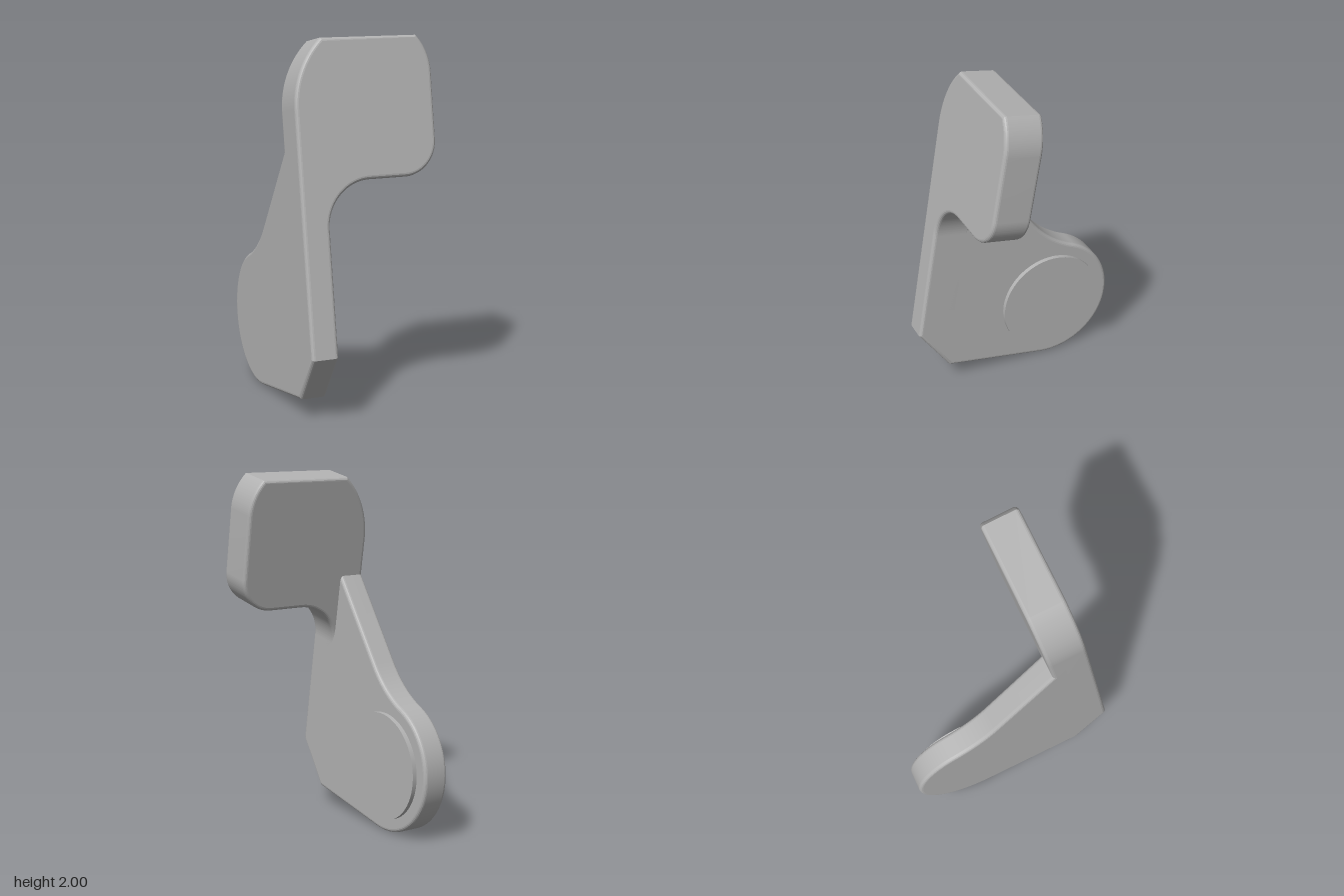
import * as THREE from 'three';
import { toCreasedNormals } from 'three/addons/utils/BufferGeometryUtils.js';

const EDGE = 0.02; // rounding of the plate edges

// Extrude an outline from z = from to z = to, with rounded edges kept inside the outline
function plate(shape, from, to) {
  const geo = new THREE.ExtrudeGeometry(shape, {
    depth: to - from - 2 * EDGE,
    bevelEnabled: true,
    bevelSize: EDGE,
    bevelThickness: EDGE,
    bevelOffset: -EDGE,
    bevelSegments: 4,
    curveSegments: 32,
  });
  geo.translate(0, 0, from + EDGE);
  return toCreasedNormals(geo, 0.17);
}

export function createModel() {
  const model = new THREE.Group();
  model.name = 'bracket';
  const grey = new THREE.MeshStandardMaterial({ color: 0xb3b3b3 });
  grey.name = 'grey';

  const add = (name, geo) => {
    const mesh = new THREE.Mesh(geo, grey);
    mesh.name = name;
    model.add(mesh);
    return mesh;
  };

  const outer = -0.322, inner = -0.172; // side plate faces
  const back = 0.485, front = 0.7;      // front plate faces
  const hub = { x: 0.114, y: 0.406, r: 0.38 };

  // Side plate: chamfered front foot, round hub at the back, sloped neck
  const side = new THREE.Shape();
  side.moveTo(-front, 0.253);
  side.lineTo(-0.48, 0.026);
  side.lineTo(hub.x, hub.y - hub.r);
  side.absarc(hub.x, hub.y, hub.r, -Math.PI / 2, 1.315, false);
  side.quadraticCurveTo(0.0435, 0.8115, -0.085, 0.94);
  side.lineTo(-back, 1.336);
  side.lineTo(-0.6, 1.45);
  side.lineTo(-front, 1.2);
  side.closePath();
  add('sidePlate', plate(side, outer, inner).rotateY(Math.PI / 2));

  // Front plate: narrow strip that flares into a rounded flag
  const flag = new THREE.Shape();
  flag.moveTo(outer, 0.3);
  flag.lineTo(inner, 0.3);
  flag.lineTo(inner, 0.92);
  flag.absarc(0.073, 0.92, 0.245, Math.PI, Math.PI / 2, true);
  flag.lineTo(0.275, 1.165);
  flag.absarc(0.275, 1.355, 0.19, -Math.PI / 2, 0, false);
  flag.lineTo(0.465, 1.711);
  flag.absarc(0.175, 1.711, 0.29, 0, 0.75, false);
  flag.absarc(0.173, 1.541, 0.495, Math.PI - 0.838, Math.PI, false);
  flag.closePath();
  add('frontPlate', plate(flag, back, front));

  // Raised disc on the inner face of the hub
  const disc = add('hubDisc', new THREE.CylinderGeometry(0.304, 0.304, 0.035, 96));
  disc.rotation.z = -Math.PI / 2;
  disc.position.set(inner + 0.0085, hub.y, -hub.x);

  // Lean back, then turn
  const tilt = -Math.PI / 18;
  model.rotation.set(tilt, tilt, 0, 'YXZ');

  const root = new THREE.Group();
  root.name = 'model';
  root.add(model);
  return root;
}
